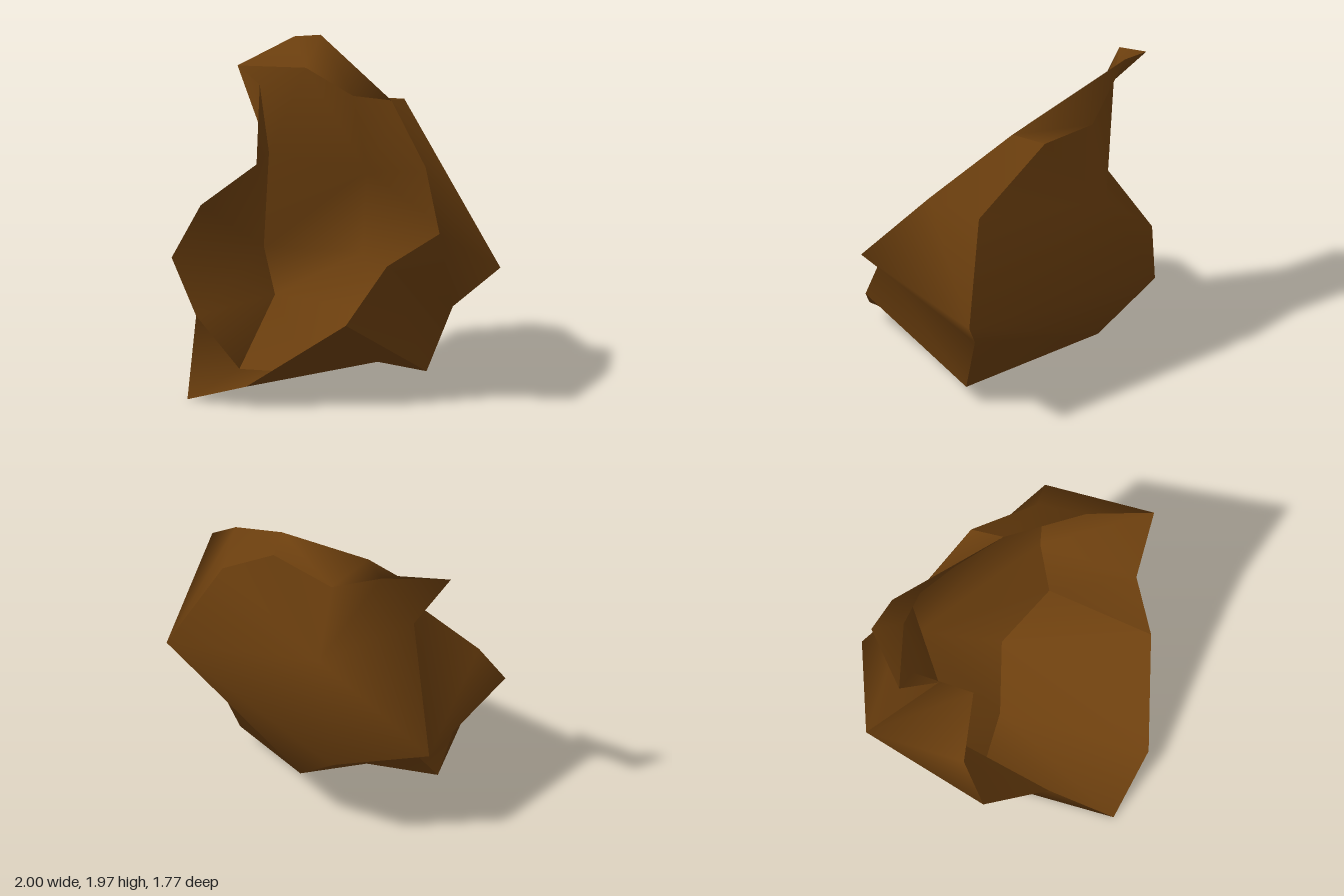
import * as THREE from 'three';
import { toCreasedNormals } from 'three/addons/utils/BufferGeometryUtils.js';

// Corner points of the hollow shell
const P = {
  // open front edge, clockwise from the top right
  C: [0.24, 1.72, -0.26], D: [0.7, 1.42, 0.06], E: [1, 1.1, 0.36], F: [0.66, 0.87, 0.42],
  G: [0.49, 0.52, 0.61], N: [-0.05, 0.13, 0.88], O: [-0.48, 0, 0.87], P: [-0.65, 0.43, 0.52],
  Q: [-1, 0.7, 0.26], R: [-0.91, 1, 0.08], T: [-0.58, 1.27, -0.03], a: [-0.77, 1.68, -0.35],
  U: [-0.93, 1.78, -0.35], V: [-0.72, 1.93, -0.65], S: [-0.51, 1.97, -0.62],
  // crease where the sides meet the back
  A: [0.2, 1.69, -0.46], B: [0.64, 1.33, -0.25], H: [0.96, 0.76, -0.36], I: [0.69, 0.51, -0.25],
  J: [0.58, 0.12, -0.13], M: [0.16, 0.11, -0.23], L: [-0.22, 0.03, -0.04], K: [-0.65, 0.02, 0.05],
  Y: [-0.62, 0.42, -0.29], X: [-0.9, 0.63, -0.59], W: [-0.63, 1.3, -0.24],
  b: [-0.55, 1.78, -0.52], c: [-0.23, 1.64, -0.55],
  // bulge of the back
  x: [-0.39, 0.6, -0.89], y: [-0.08, 0.31, -0.67], z: [-0.2, 1.16, -0.66],
};

// Triangles are three-letter words of corner names; each part is smooth within itself
function shell(name, words, material) {
  const geometry = new THREE.BufferGeometry();
  const positions = words.flatMap((w) => [...w].flatMap((k) => P[k]));
  geometry.setAttribute('position', new THREE.Float32BufferAttribute(positions, 3));
  const mesh = new THREE.Mesh(toCreasedNormals(geometry, Math.PI), material);
  mesh.name = name;
  return mesh;
}

// Strip between the open edge and the crease; each column is edge + crease corner
function strip(columns) {
  const words = [];
  for (let i = 0; i < columns.length - 1; i++) {
    const [r0, c0] = columns[i], [r1, c1] = columns[i + 1];
    for (const w of [r0 + r1 + c1, r0 + c1 + c0]) if (new Set(w).size === 3) words.push(w);
  }
  return words;
}

const fan = (centre, loop) => [...loop].map((k, i) => centre + k + loop[(i + 1) % loop.length]);

export function createModel() {
  const brown = new THREE.MeshStandardMaterial({ color: 0x6c3f0e, side: THREE.DoubleSide });
  brown.name = 'earthBrown';

  const group = new THREE.Group();
  group.name = 'hollowShell';

  // Walls around the opening, split where they turn sharply
  group.add(
    shell('rightSideWall', strip(['CA', 'DB', 'EH', 'FI', 'GJ']), brown),
    shell('floor', strip(['GJ', 'GM', 'NM', 'NL', 'OL', 'OK', 'PK']), brown),
    shell('leftSideWall', strip(['PK', 'PY', 'QX', 'RX', 'TX', 'TW', 'aW', 'aU']), brown),
    shell('topLip', strip(['UU', 'Vb', 'Sb', 'Sc', 'Cc', 'CA']), brown),
  );

  // Bulging back
  const back = [...fan('z', 'cABHxXWb'), 'WUb', ...fan('y', 'xHIJMLY'), 'LKY', 'xYX'];
  group.add(shell('backWall', back, brown));
  return group;
}
